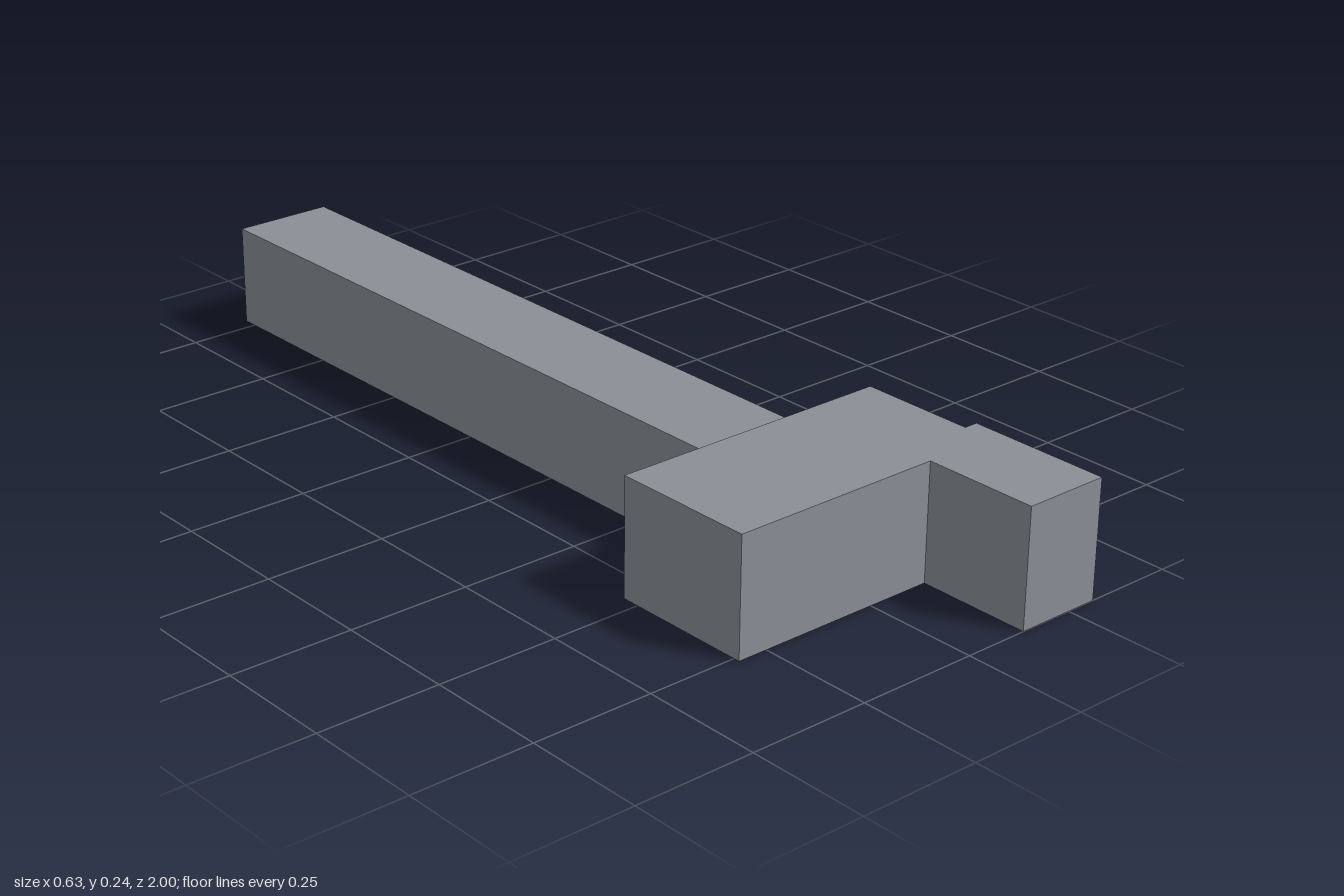
import * as THREE from 'three';

export function createModel() {
  const group = new THREE.Group();
  group.name = 'hammer';

  const steel = new THREE.MeshStandardMaterial({ color: 0x8a8f96 });
  steel.name = 'steel grey';

  // Adds a box from its lower and upper corners
  const addBox = (name, [x0, y0, z0], [x1, y1, z1]) => {
    const mesh = new THREE.Mesh(new THREE.BoxGeometry(x1 - x0, y1 - y0, z1 - z0), steel);
    mesh.position.set((x0 + x1) / 2, (y0 + y1) / 2, (z0 + z1) / 2);
    mesh.name = name;
    group.add(mesh);
  };

  // Long square handle, slightly slimmer than the head
  addBox('handle', [-0.12, 0.015, -1], [0.09, 0.225, 0.464]);
  // Wide head across the end of the handle
  addBox('head', [-0.313, 0, 0.464], [0.284, 0.24, 0.763]);
  // Offset block at one end of the head, stepping slightly past its side
  addBox('tip', [0.134, 0, 0.704], [0.313, 0.24, 1]);

  return group;
}
